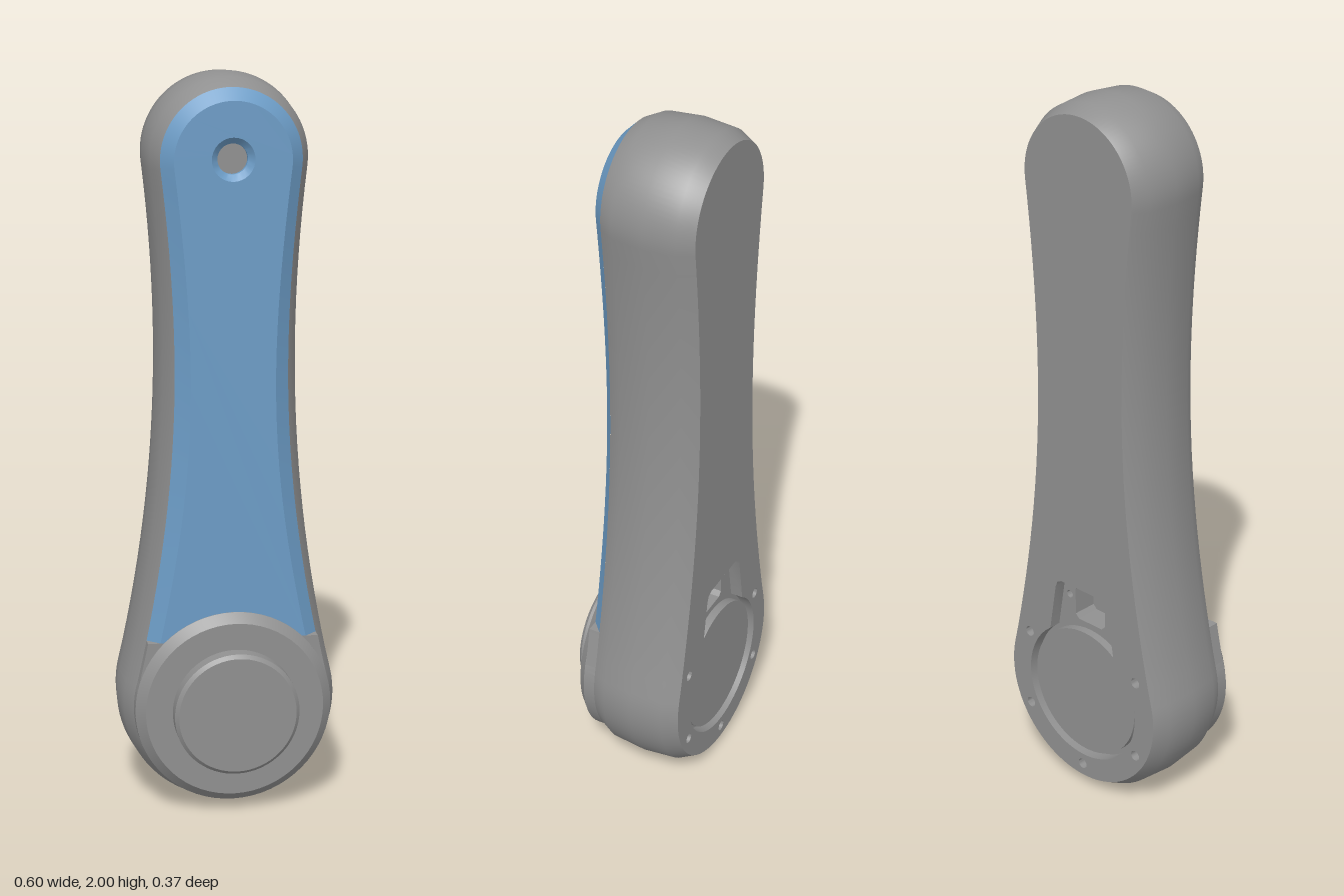
import * as THREE from 'three';
import { toCreasedNormals, mergeGeometries } from 'three/addons/utils/BufferGeometryUtils.js';

const grey = new THREE.MeshStandardMaterial({ color: 0x909090 });
const blue = new THREE.MeshStandardMaterial({ color: 0x6c9cc6 });

// Outline: a big and a small circle joined by a wide concave arc
const LOW = { y: 0.3, r: 0.298 }, HIGH = { y: 1.783, r: 0.217 };
const ARC = { x: 4.257, y: 1.276, r: 4.07 };
const T1 = Math.atan2(ARC.y - LOW.y, ARC.x), T2 = Math.atan2(ARC.y - HIGH.y, ARC.x);
const SPLIT = 0.49;
const BACK = -0.187, FRONT = 0.077, PANEL = 0.108;

// Outline inset by d (a little more at the waist); part is 'all', 'upper' or 'lower' (cut at SPLIT)
function outline(d, part = 'all') {
  const right = [];
  const circle = (c, a0, a1, first) => {
    for (let i = first; i <= 24; i++) {
      const a = a0 + (a1 - a0) * i / 24;
      right.push(new THREE.Vector2((c.r - d) * Math.cos(a), c.y + (c.r - d) * Math.sin(a)));
    }
  };
  if (part !== 'upper') circle(LOW, -Math.PI / 2, T1, 0);
  const y0 = part === 'upper' ? SPLIT : LOW.y + (LOW.r - d) * Math.sin(T1);
  const y1 = part === 'lower' ? SPLIT : HIGH.y + (HIGH.r - d) * Math.sin(T2);
  for (let i = part === 'upper' ? 0 : 1; i <= 24; i++) {
    const y = y0 + (y1 - y0) * i / 24;
    const waist = 0.22 * d * Math.sin(Math.PI * (y - LOW.y) / (HIGH.y - LOW.y)) ** 2;
    right.push(new THREE.Vector2(ARC.x - Math.sqrt((ARC.r + d) ** 2 - (y - ARC.y) ** 2) - waist, y));
  }
  if (part !== 'lower') circle(HIGH, T2, Math.PI / 2, 1);
  const left = right.filter(p => p.x > 1e-6).map(p => new THREE.Vector2(-p.x, p.y)).reverse();
  return [...right, ...left];
}

function ring(x, y, r, n = 32) {
  return Array.from({ length: n }, (_, i) => {
    const a = i / n * Math.PI * 2;
    return new THREE.Vector2(x + r * Math.cos(a), y + r * Math.sin(a));
  });
}

// Wall through [points, z] levels: rising z faces outward, falling z faces inward
function wall(levels) {
  const pos = [], index = [], n = levels[0][0].length;
  for (const [pts, z] of levels) for (const p of pts) pos.push(p.x, p.y, z);
  for (let k = 0; k < levels.length - 1; k++) {
    for (let i = 0; i < n; i++) {
      const a = k * n + i, b = k * n + (i + 1) % n;
      index.push(a, b, b + n, a, b + n, a + n);
    }
  }
  const g = new THREE.BufferGeometry();
  g.setAttribute('position', new THREE.Float32BufferAttribute(pos, 3));
  g.setIndex(index);
  return toCreasedNormals(g, 0.5);
}

// Flat face with holes, facing the front or the back
function face(pts, z, holes = [], toBack = false) {
  const place = list => list.map(p => new THREE.Vector2(toBack ? -p.x : p.x, p.y));
  const s = new THREE.Shape(place(pts));
  s.holes = holes.map(h => new THREE.Path(place(h)));
  let g = new THREE.ShapeGeometry(s);
  if (toBack) g.rotateY(Math.PI);
  g.translate(0, 0, z);
  g = g.toNonIndexed();
  g.deleteAttribute('uv');
  return g;
}

// Walls and floor of a hollow sunk into the back from z, with holes in its floor
function hollow(pts, z, depth, holes = []) {
  return mergeGeometries([wall([[pts, z + depth], [pts, z]]), face(pts, z + depth, holes, true)]);
}

function turned(profile) {
  const g = new THREE.LatheGeometry(profile.map(p => new THREE.Vector2(...p)), 64);
  return toCreasedNormals(g.rotateX(Math.PI / 2).translate(0, LOW.y, 0), 0.5);
}

export function createModel() {
  const group = new THREE.Group();
  const add = (name, geometry, material = grey) => {
    const m = new THREE.Mesh(geometry, material);
    m.name = name;
    group.add(m);
    return m;
  };
  const points = list => list.map(([x, y]) => new THREE.Vector2(x, y));

  // Round recess in the back that opens into a tapered pocket above it
  const join = 0.6435, cavity = [];
  for (let i = 0; i <= 48; i++) {
    const a = Math.PI / 2 + join + (Math.PI * 2 - 2 * join) * i / 48;
    cavity.push(new THREE.Vector2(0.2 * Math.cos(a), LOW.y + 0.2 * Math.sin(a)));
  }
  cavity.push(...points([[0.097, 0.6], [0.09, 0.617], [0.075, 0.625],
    [-0.075, 0.625], [-0.09, 0.617], [-0.097, 0.6]]));
  const floorZ = BACK + 0.035;

  // Deep window in the pocket floor
  const window = points([[-0.043, 0.505], [0.043, 0.505], [0.055, 0.517], [0.055, 0.593],
    [0.043, 0.605], [-0.043, 0.605], [-0.055, 0.593], [-0.055, 0.517]]);

  // Screw holes: five on the rim, two beside the window
  const rimScrews = [-150, -90, -30, 30, 150].map(deg => {
    const a = deg * Math.PI / 180;
    return ring(0.232 * Math.cos(a), LOW.y + 0.232 * Math.sin(a), 0.015, 16);
  });
  const pocketScrews = [-1, 1].map(side => ring(side * 0.077, 0.57, 0.011, 16));

  // Body shell
  const levels = [[0.03, BACK], [0.008, -0.145], [0, -0.055], [0.008, 0.035], [0.03, FRONT]];
  add('body', mergeGeometries([
    wall(levels.map(([d, z]) => [outline(d), z])),
    face(outline(0.03), FRONT),
    face(outline(0.03), BACK, [cavity, ...rimScrews], true),
  ]));
  add('backRecess', hollow(cavity, BACK, 0.035, [window, ...pocketScrews]));
  add('pocketWindow', hollow(window, floorZ, 0.07));
  for (const s of rimScrews) add('rimScrewHole', hollow(s, BACK, 0.03));
  for (const s of pocketScrews) add('pocketScrewHole', hollow(s, floorZ, 0.03));

  // Disc set into the recess
  add('backDisc', turned([[0, BACK + 0.012], [0.187, BACK + 0.012], [0.187, floorZ]]));

  // Front panel with chamfered rim and countersunk hole
  const hole = r => ring(0, HIGH.y + 0.004, r);
  add('frontPanel', mergeGeometries([
    wall([[outline(0.03, 'upper'), FRONT], [outline(0.062, 'upper'), PANEL]]),
    face(outline(0.062, 'upper'), PANEL, [hole(0.057)]),
    wall([[hole(0.057), PANEL], [hole(0.04), 0.092], [hole(0.04), FRONT + 0.002]]),
  ]), blue);
  add('panelHoleFloor', new THREE.CircleGeometry(0.041, 32)).position.set(0, HIGH.y + 0.004, FRONT + 0.003);

  // Grey straight-sided plate around the hub
  add('hubPlate', mergeGeometries([
    wall([[outline(0.03, 'lower'), FRONT], [outline(0.03, 'lower'), PANEL]]),
    face(outline(0.03, 'lower'), PANEL),
  ]));

  // Hub flange and raised knob
  add('hubFlange', turned([[0.268, FRONT], [0.268, 0.11], [0.243, 0.135], [0, 0.135]]));
  add('hubKnob', turned([[0.17, 0.13], [0.17, 0.174], [0.16, 0.184], [0, 0.184]]));
  return group;
}
